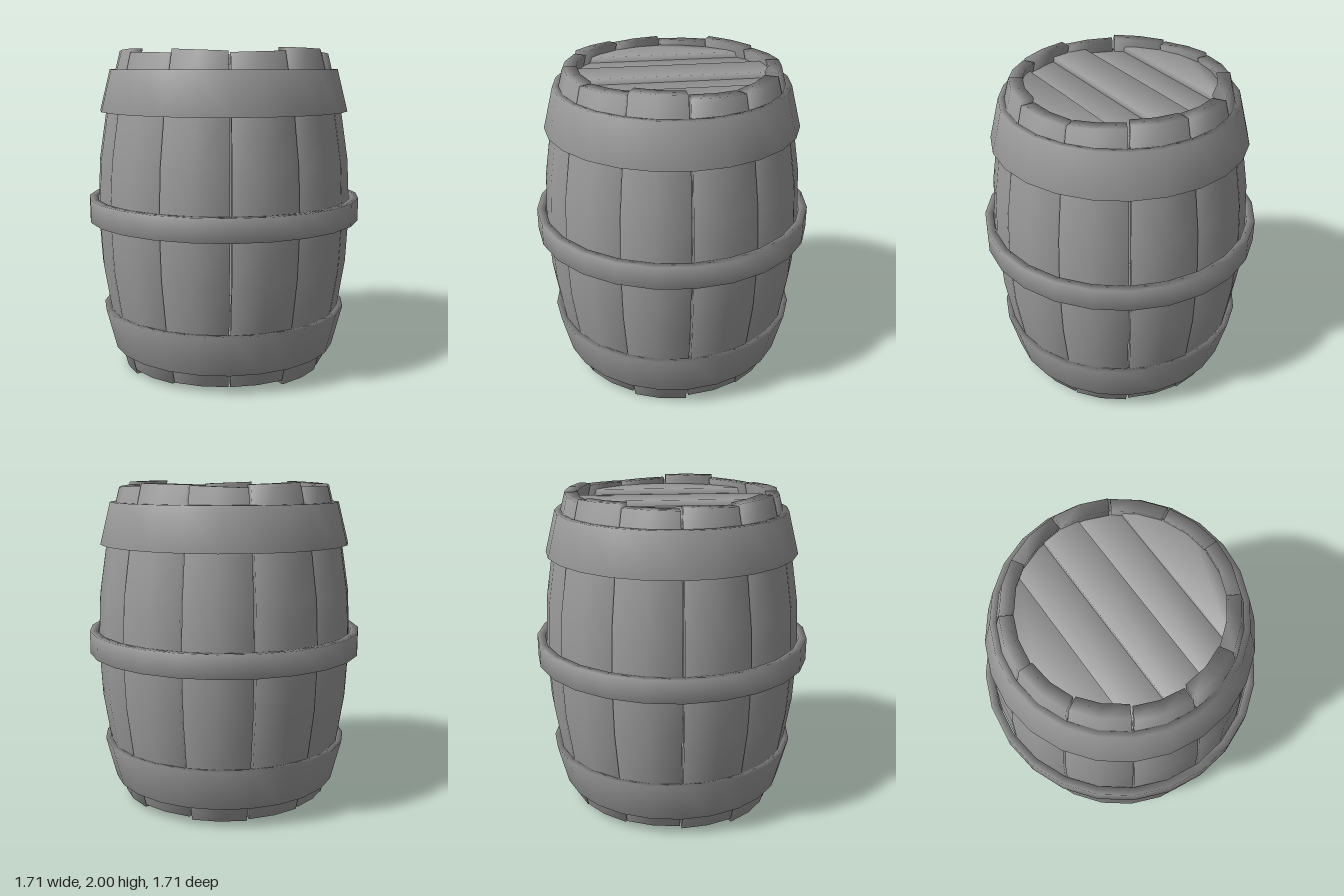
import * as THREE from 'three';
import { mergeVertices } from 'three/addons/utils/BufferGeometryUtils.js';

const material = new THREE.MeshStandardMaterial({ color: 0x999999 });
const STAVES = 12;
const GAP = 0.006; // half the slit between neighbouring staves

// Outer radius of the bulging barrel at height y
const bulge = (y) => 0.8 - 0.16 * (y - 1) ** 2;

// Adds a mesh whose normals run softly around every edge
function addMesh(parent, name, geometry) {
  geometry.deleteAttribute('uv');
  geometry.deleteAttribute('normal');
  const soft = mergeVertices(geometry);
  soft.computeVertexNormals();
  const mesh = new THREE.Mesh(soft, material);
  mesh.name = name;
  parent.add(mesh);
}

// One curved plank: a box bent around the axis and along the bulge
function staveGeometry(index, bottom, top, slant) {
  const geometry = new THREE.BoxGeometry(1, 1, 1, 2, 6, 1);
  const p = geometry.attributes.position;
  const step = (Math.PI * 2) / STAVES;
  for (let i = 0; i < p.count; i++) {
    const u = p.getX(i), v = p.getY(i) + 0.5;
    const y = bottom + v * (top - bottom - Math.abs(slant) * (0.5 + u * Math.sign(slant)));
    const r = bulge(y) - (p.getZ(i) < 0 ? 0.08 : 0);
    const a = (index + 0.5) * step + u * (step - (2 * GAP) / r);
    p.setXYZ(i, r * Math.sin(a), y, r * Math.cos(a));
  }
  return geometry;
}

// Metal band with a closed, slightly conical section
function hoopGeometry(y0, r0, y1, r1, thickness) {
  const section = [
    [r0, y0], [r1, y1], [r1 - thickness, y1], [r0 - thickness, y0], [r0, y0],
  ].map(([r, y]) => new THREE.Vector2(r, y));
  return new THREE.LatheGeometry(section, 24);
}

// Lid board between x0 and x1, its ends trimmed to the round outline
function boardGeometry(x0, x1, radius, y0, y1) {
  const geometry = new THREE.BoxGeometry(1, 1, 1);
  const p = geometry.attributes.position;
  for (let i = 0; i < p.count; i++) {
    const x = p.getX(i) < 0 ? x0 : x1;
    const z = Math.sqrt(radius * radius - x * x) * Math.sign(p.getZ(i));
    p.setXYZ(i, x, p.getY(i) < 0 ? y0 : y1, z);
  }
  return geometry;
}

export function createModel() {
  const model = new THREE.Group();
  model.name = 'barrel';

  // Staves with slightly uneven ends
  const staves = new THREE.Group();
  staves.name = 'staves';
  const tops = [1.99, 1.98, 2, 1.975, 1.975, 1.99, 1.98, 1.995, 1.975, 1.985, 1.995, 1.975];
  const bottoms = [0.04, 0.04, 0.01, 0.04, 0.03, 0.05, 0.03, 0.04, 0.05, 0.03, 0, 0.03];
  for (let i = 0; i < STAVES; i++) {
    const slant = [0.012, -0.01, 0.006][i % 3];
    addMesh(staves, `stave${i + 1}`, staveGeometry(i, bottoms[i], tops[i], slant));
  }
  model.add(staves);

  // Three hoops
  addMesh(model, 'bottomHoop', hoopGeometry(0.13, 0.71, 0.385, 0.775, 0.05));
  addMesh(model, 'middleHoop', hoopGeometry(0.945, 0.855, 1.085, 0.855, 0.05));
  addMesh(model, 'topHoop', hoopGeometry(1.62, 0.775, 1.875, 0.71, 0.05));

  // Lids of five boards, alternately raised and sunk
  const seams = [-0.6, -0.345, -0.115, 0.115, 0.345, 0.6];
  for (const name of ['topLid', 'bottomLid']) {
    const lid = new THREE.Group();
    lid.name = name;
    for (let i = 0; i < 5; i++) {
      const sink = i % 2 ? 0.035 : 0;
      const geometry = boardGeometry(seams[i], seams[i + 1], 0.625, 1.82 - sink, 1.94 - sink);
      addMesh(lid, `board${i + 1}`, geometry);
    }
    if (name === 'bottomLid') {
      lid.rotation.z = Math.PI;
      lid.position.y = 2.01;
    }
    model.add(lid);
  }
  return model;
}
